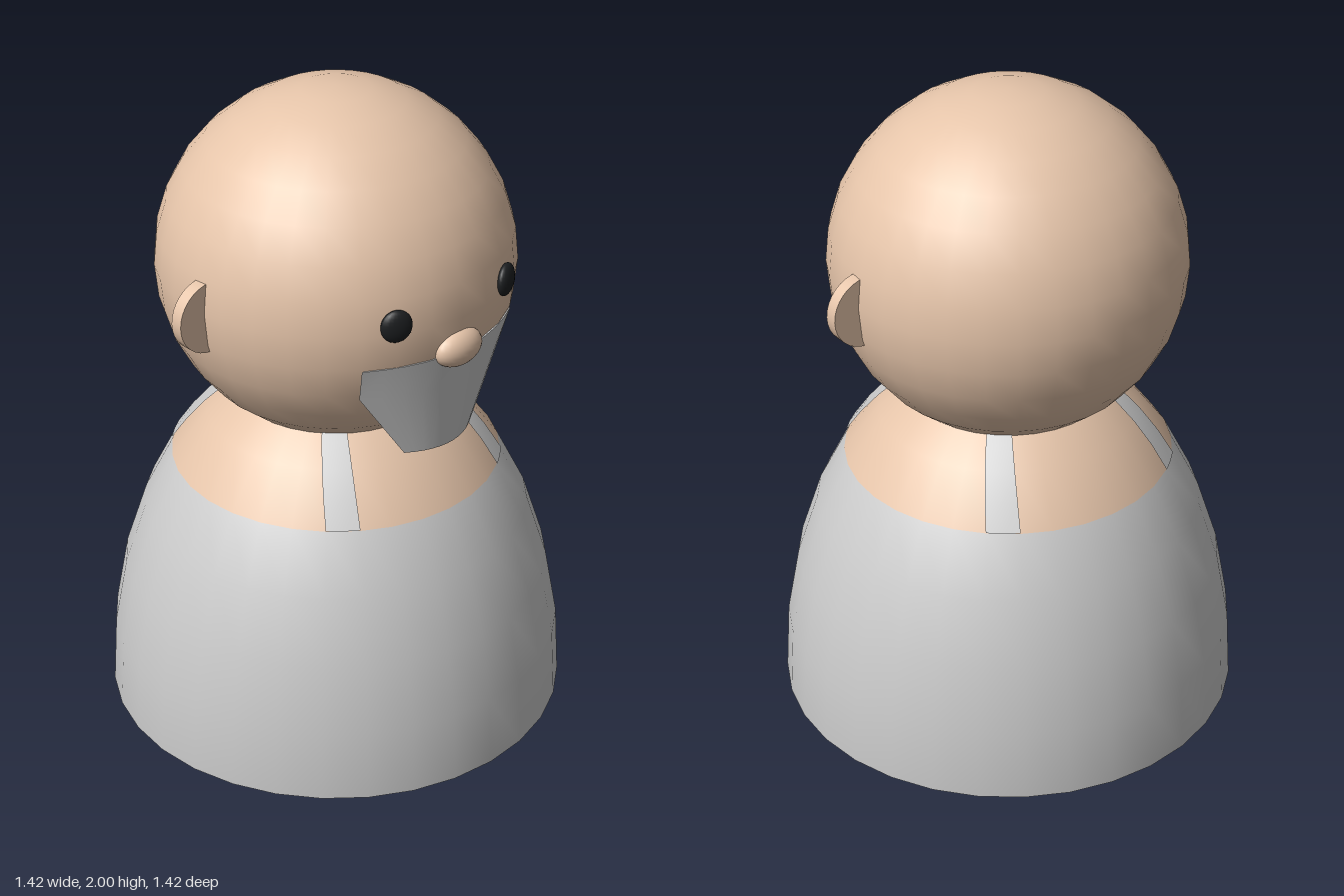
import * as THREE from 'three';

const mat = (color, extra = {}) => new THREE.MeshStandardMaterial({ color, ...extra });

// Patch of surface: point(u, v) places every vertex of a small grid
function sheet(cols, rows, point) {
  const g = new THREE.PlaneGeometry(1, 1, cols, rows);
  const p = g.attributes.position, uv = g.attributes.uv;
  for (let i = 0; i < p.count; i++) p.setXYZ(i, ...point(uv.getX(i), uv.getY(i)));
  g.computeVertexNormals();
  return g;
}

export function createModel() {
  const model = new THREE.Group();
  const skin = mat(0xe6c5aa);
  const grey = mat(0xcccccc, { side: THREE.DoubleSide });
  const dark = mat(0x1c1e20);

  const add = (name, geometry, material, x = 0, y = 0, z = 0, parent = model) => {
    const mesh = new THREE.Mesh(geometry, material);
    mesh.name = name;
    mesh.position.set(x, y, z);
    parent.add(mesh);
    return mesh;
  };

  // Dome body: grey dress below, bare shoulders above
  const R = 0.71, H = 1.15, Q = Math.PI / 4;
  const dome = (start) =>
    new THREE.SphereGeometry(1, 32, 4, 0, Math.PI * 2, start, Q).scale(R, H, R);
  add('dress', dome(Q), grey);
  add('shoulders', dome(0), skin);
  add('base', new THREE.CircleGeometry(R, 32).rotateX(Math.PI / 2), grey);

  // Four shoulder straps lying just over the skin
  const straps = new THREE.Group();
  straps.name = 'straps';
  model.add(straps);
  const deg = Math.PI / 180;
  for (const sx of [-1, 1]) for (const sz of [-1, 1]) {
    const geometry = sheet(2, 4, (u, v) => {
      const w = sx * sz > 0 ? u : 1 - u;
      const from = 33.5 + 2.5 * v, to = 45 + 5 * v;
      const a = (from + (to - from) * w) * deg;
      const theta = Q * (1 - 0.5 * v);
      const r = R * 1.006 * Math.sin(theta);
      return [sx * r * Math.sin(a), H * 1.004 * Math.cos(theta), sz * r * Math.cos(a)];
    });
    add('strap', geometry, grey, 0, 0, 0, straps);
  }

  // Head, nose, eyes and ears
  add('head', new THREE.SphereGeometry(0.535, 32, 16), skin, 0, 1.465, 0);
  add('nose', new THREE.SphereGeometry(1, 24, 14).scale(0.085, 0.057, 0.047), skin, 0, 1.365, 0.52);
  for (const s of [-1, 1]) {
    const side = s > 0 ? 'left' : 'right';
    const eye = add(side + 'Eye', new THREE.SphereGeometry(1, 20, 14).scale(0.047, 0.05, 0.022),
      dark, s * 0.213, 1.495, 0.492);
    eye.rotation.y = s * 0.41;
    add(side + 'Ear', new THREE.CylinderGeometry(0.11, 0.11, 0.04, 32).rotateX(Math.PI / 2),
      skin, s * 0.507, 1.448, 0.02);
  }

  // Beard: curved tapering front, flat back and a closed lower edge
  // rows from bottom to top: height, half width, middle z, edge z
  const rows = [[1.03, 0.13, 0.487, 0.443], [1.25, 0.278, 0.513, 0.412], [1.355, 0.292, 0.528, 0.438]];
  const beardPoint = (s, row, bulge) => {
    const [y, w, mid, edge] = rows[row];
    return [s * w, y, edge + (mid - edge) * (1 - s * s) * bulge];
  };
  const beard = new THREE.Group();
  beard.name = 'beard';
  model.add(beard);
  add('beardFront', sheet(10, 2, (u, v) => beardPoint(2 * u - 1, Math.round(v * 2), 1)), grey, 0, 0, 0, beard);
  add('beardBack', sheet(10, 2, (u, v) => beardPoint(1 - 2 * u, Math.round(v * 2), 0)), grey, 0, 0, 0, beard);
  for (const [name, row] of [['beardTip', 0], ['beardTop', 2]])
    add(name, sheet(10, 1, (u, v) => beardPoint(2 * u - 1, row, row ? 1 - v : v)), grey, 0, 0, 0, beard);

  return model;
}
